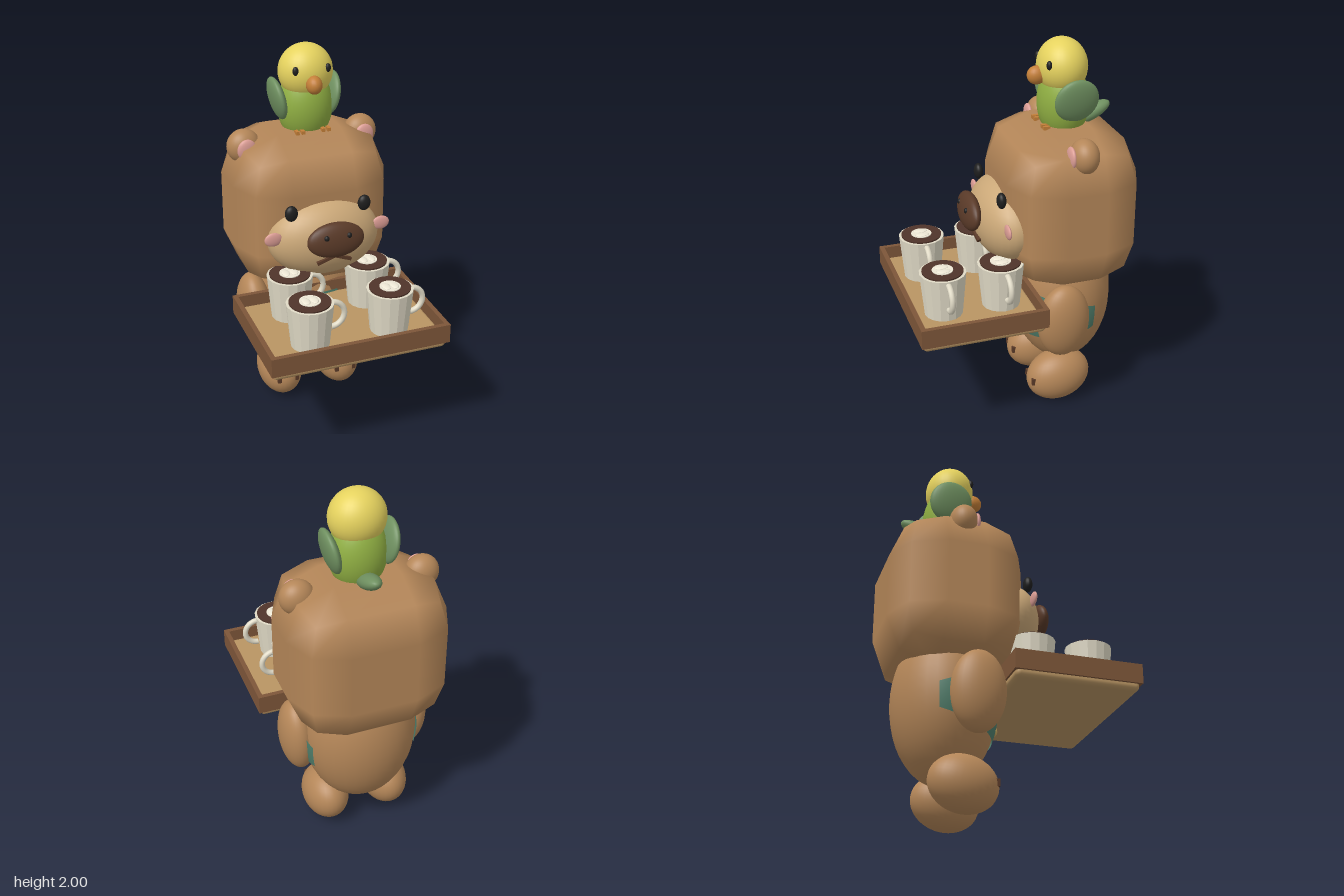
import * as THREE from 'three';
import { RoundedBoxGeometry } from 'three/addons/geometries/RoundedBoxGeometry.js';
import { ParametricGeometry } from 'three/addons/geometries/ParametricGeometry.js';

const paint = (color, extra = {}) => new THREE.MeshStandardMaterial({ color, ...extra });
const FUR = paint(0xb48658), TAN = paint(0xcba878), DARK = paint(0x5a3a28), BLACK = paint(0x1e1e1e);
const PINK = paint(0xdb9c94), VEST = paint(0x4f7d6a, { side: THREE.DoubleSide }), GOLD = paint(0xc9a860);
const WOOD = paint(0x7d5639), BOARD = paint(0xb99563), COFFEE = paint(0x50342a), FOAM = paint(0xeee8d6);
const CUP = paint(0xe0dac6, { flatShading: true }), HANDLE = paint(0xe0dac6);
const YELLOW = paint(0xe5d25e), GREEN = paint(0x8fae42), WING = paint(0x6f9060), ORANGE = paint(0xc47f38);

function add(parent, name, geometry, material, pos = [0, 0, 0], rot = [0, 0, 0]) {
  const mesh = new THREE.Mesh(geometry, material);
  mesh.name = name;
  mesh.position.set(...pos);
  mesh.rotation.set(...rot);
  parent.add(mesh);
  return mesh;
}

function ball(parent, name, material, pos, radii, rot, detail = 32) {
  const mesh = add(parent, name, new THREE.SphereGeometry(1, detail, detail * 0.75), material, pos, rot);
  mesh.scale.set(...radii);
  return mesh;
}

function group(parent, name, pos = [0, 0, 0]) {
  const g = new THREE.Group();
  g.name = name;
  g.position.set(...pos);
  parent.add(g);
  return g;
}

const sides = [['left', 1], ['right', -1]];

function buildBody(root) {
  const body = group(root, 'body');
  const c = [0, 0.6, -0.272], r = [0.3, 0.42, 0.268];
  ball(body, 'torso', FUR, c, r);

  // vest front: a band hugging the torso that narrows towards its ends
  const band = new ParametricGeometry((u, v, target) => {
    const t = u * 2 - 1, a = t * 1.92;
    const y = 0.545 + (v * 2 - 1) * (0.15 - 0.085 * t * t);
    const k = 1.03 * Math.sqrt(1 - ((y - c[1]) / r[1]) ** 2);
    target.set(r[0] * k * Math.sin(a), y, c[2] + r[2] * k * Math.cos(a));
  }, 40, 10);
  add(body, 'vest', band, VEST);
  ball(body, 'vestButton', GOLD, [0, 0.49, -0.003], [0.023, 0.023, 0.015], undefined, 16);

  for (const [side, s] of sides) {
    ball(body, side + 'Arm', FUR, [s * 0.315, 0.57, -0.18], [0.093, 0.21, 0.14], [0, 0, -s * 0.06]);
    const foot = group(body, side + 'Foot', [s * 0.17, 0.147, -0.21]);
    ball(foot, 'paw', FUR, [0, 0, 0], [0.122, 0.144, 0.177], [0.2, 0, 0]);
    for (const x of [-0.05, 0.05])
      add(foot, 'claw', new THREE.BoxGeometry(0.02, 0.036, 0.03), DARK, [x, 0.005, 0.152]);
  }
}

function buildHead(root) {
  const head = group(root, 'head');
  add(head, 'skull', new RoundedBoxGeometry(0.84, 0.835, 0.705, 1, 0.25), FUR, [0, 1.148, -0.263]);
  ball(head, 'muzzle', TAN, [0, 1.07, 0.04], [0.3, 0.213, 0.175]);
  ball(head, 'nose', DARK, [0, 1.125, 0.23], [0.152, 0.092, 0.045], [-0.15, 0, 0]);
  for (const [side, s] of sides) {
    ball(head, side + 'Nostril', BLACK, [s * 0.06, 1.155, 0.262], [0.014, 0.015, 0.012], undefined, 12);
    add(head, side + 'MouthLine', new THREE.BoxGeometry(0.1, 0.016, 0.02), DARK,
      [s * 0.045, 1.01, 0.21], [0, s * 0.1, -s * 0.4]);
    ball(head, side + 'Eye', BLACK, [s * 0.196, 1.25, 0.118], [0.034, 0.042, 0.024], undefined, 20);
    ball(head, side + 'Cheek', PINK, [s * 0.292, 1.12, 0.115], [0.047, 0.037, 0.013], undefined, 20);
    ball(head, side + 'Ear', FUR, [s * 0.322, 1.487, -0.268], [0.089, 0.09, 0.073]);
    ball(head, side + 'InnerEar', PINK, [s * 0.322, 1.487, -0.2], [0.052, 0.058, 0.02], undefined, 20);
  }
}

function buildMug(parent, pos) {
  const mug = group(parent, 'mug', pos);
  // hollow cup wall: outside, rim, inside
  const wall = [[0, 0], [0.098, 0], [0.12, 0.235], [0.105, 0.235], [0.1, 0.2]]
    .map(([x, y]) => new THREE.Vector2(x, y));
  add(mug, 'cup', new THREE.LatheGeometry(wall, 16), CUP);
  add(mug, 'coffee', new THREE.CylinderGeometry(0.106, 0.1, 0.04, 32), COFFEE, [0, 0.223, 0]);
  add(mug, 'foam', new THREE.CylinderGeometry(0.054, 0.054, 0.006, 24), FOAM, [0, 0.244, 0]);
  for (const s of [-1, 1])
    ball(mug, 'foamLeaf', FOAM, [s * 0.022, 0.247, 0], [0.021, 0.006, 0.036], undefined, 16);
  add(mug, 'handle', new THREE.TorusGeometry(0.07, 0.015, 10, 20, Math.PI), HANDLE,
    [0.112, 0.145, 0], [0, 0, -Math.PI / 2]);
}

function buildTray(root) {
  const tray = group(root, 'tray', [0, 0, 0.285]);
  add(tray, 'trayBoard', new RoundedBoxGeometry(0.92, 0.07, 0.64, 3, 0.025), BOARD, [0, 0.647, 0]);
  // one-piece rim
  const outline = (w, d) => [[-w, -d], [w, -d], [w, d], [-w, d]].map(([x, y]) => new THREE.Vector2(x, y));
  const shape = new THREE.Shape(outline(0.472, 0.33));
  shape.holes.push(new THREE.Path(outline(0.447, 0.305)));
  const rim = new THREE.ExtrudeGeometry(shape, { depth: 0.102, bevelEnabled: false });
  add(tray, 'trayRim', rim, WOOD, [0, 0.747, 0], [Math.PI / 2, 0, 0]);
  for (const x of [-0.213, 0.213])
    for (const z of [-0.155, 0.15]) buildMug(tray, [x, 0.68, z]);
}

function buildBird(root) {
  const bird = group(root, 'bird', [0.015, 0, -0.262]);
  ball(bird, 'birdBody', GREEN, [0, 1.67, -0.005], [0.145, 0.2, 0.132]);
  ball(bird, 'birdHead', YELLOW, [0, 1.857, 0.004], [0.143, 0.143, 0.128]);
  ball(bird, 'beak', ORANGE, [0, 1.82, 0.137], [0.041, 0.048, 0.05], undefined, 20);
  ball(bird, 'tail', WING, [0, 1.59, -0.15], [0.05, 0.04, 0.118], [0.4, 0, 0], 24);
  for (const [side, s] of sides) {
    ball(bird, side + 'BirdEye', BLACK, [s * 0.086, 1.89, 0.102], [0.016, 0.023, 0.014], undefined, 14);
    ball(bird, side + 'Wing', WING, [s * 0.145, 1.715, -0.023], [0.036, 0.115, 0.115], [0, 0, -s * 0.2], 28);
    for (const x of [0.055, 0.085])
      add(bird, side + 'Toe', new THREE.BoxGeometry(0.018, 0.018, 0.035), ORANGE, [s * x, 1.568, 0.112]);
  }
}

export function createModel() {
  const root = new THREE.Group();
  root.name = 'bearWaiter';
  buildBody(root);
  buildHead(root);
  buildTray(root);
  buildBird(root);
  return root;
}
